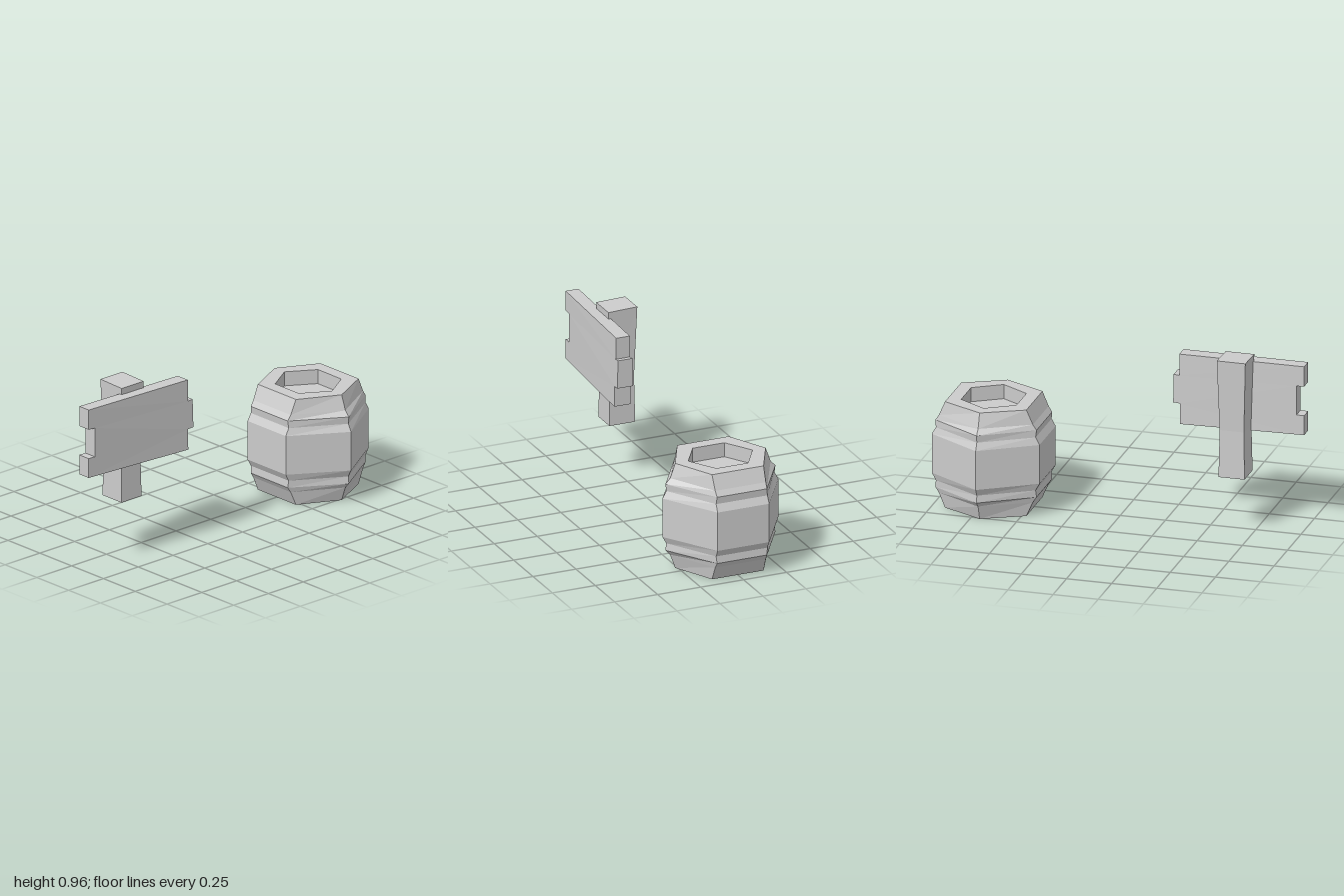
import * as THREE from 'three';

const material = () => new THREE.MeshStandardMaterial({ color: 0xcccccc, flatShading: true, roughness: 0.9 });

// Closed solid through a stack of equal-length rings (points run counter-clockwise seen from above)
function loft(rings) {
  const pos = [];
  const tri = (...pts) => pts.forEach((p) => pos.push(...p));
  const n = rings[0].length;
  for (let i = 0; i < rings.length - 1; i++) {
    for (let j = 0; j < n; j++) {
      const k = (j + 1) % n;
      const a = rings[i][j], b = rings[i][k], c = rings[i + 1][k], d = rings[i + 1][j];
      tri(a, b, c);
      tri(a, c, d);
    }
  }
  const first = rings[0], last = rings[rings.length - 1];
  for (let j = 1; j < n - 1; j++) {
    tri(first[0], first[j + 1], first[j]);
    tri(last[0], last[j], last[j + 1]);
  }
  const geo = new THREE.BufferGeometry();
  geo.setAttribute('position', new THREE.Float32BufferAttribute(pos, 3));
  geo.computeVertexNormals();
  return geo;
}

function addMesh(parent, name, geometry) {
  const mesh = new THREE.Mesh(geometry, material());
  mesh.name = name;
  parent.add(mesh);
  return mesh;
}

// Six-sided barrel with two raised bands and a recess in each end
function barrelGeometry() {
  // height from the end, half width in x, z of the side corners, z of the tip
  const half = [
    [0.08, 0.153, 0.092, 0.187],
    [0, 0.153, 0.092, 0.187],
    [0, 0.225, 0.15, 0.263],
    [0.08, 0.26, 0.147, 0.292],
    [0.11, 0.28, 0.145, 0.32],
    [0.15, 0.276, 0.149, 0.315],
    [0.19, 0.298, 0.15, 0.337],
  ];
  const profile = [...half, ...half.map(([y, ...r]) => [0.6 - y, ...r]).reverse()];
  return loft(profile.map(([y, sx, sz, tip]) => [
    [0, y, tip], [sx, y, sz], [sx, y, -sz], [0, y, -tip], [-sx, y, -sz], [-sx, y, sz],
  ]));
}

// Square post, slightly waisted in the middle
function postGeometry() {
  const levels = [
    // front y, back y, half x, half z
    [0.305, 0.305, 0.072, 0.075],
    [0.57, 0.57, 0.067, 0.07],
    [0.96, 0.965, 0.079, 0.084],
  ];
  return loft(levels.map(([yf, yb, hx, hz]) => [
    [-hx, yf, hz], [hx, yf, hz], [hx, yb, -hz], [-hx, yb, -hz],
  ]));
}

// Sign board: notched at one end, tongue at the other, thicker toward the lower right
function boardGeometry() {
  const outline = [
    [-1, 0.54], [-0.31, 0.527], [-0.31, 0.642], [-0.272, 0.645], [-0.274, 0.803], [-0.305, 0.8],
    [-0.305, 0.92], [-1, 0.927], [-1, 0.815], [-0.957, 0.813], [-0.957, 0.65], [-1, 0.65],
  ].map(([x, y]) => new THREE.Vector2(x, y));
  const geo = new THREE.ExtrudeGeometry(new THREE.Shape(outline), { depth: 1, bevelEnabled: false });
  const p = geo.attributes.position;
  for (let i = 0; i < p.count; i++) {
    const t = (p.getX(i) + 1) / 0.73;
    const low = (0.925 - p.getY(i)) / 0.4;
    const back = 0.06 + 0.015 * t - 0.007 * low * t;
    const front = 0.134 + 0.02 * t + 0.01 * low * t;
    p.setZ(i, p.getZ(i) > 0.5 ? front : back);
  }
  geo.computeVertexNormals();
  return geo;
}

export function createModel() {
  const model = new THREE.Group();
  model.name = 'barrelAndSign';

  addMesh(model, 'barrel', barrelGeometry()).position.x = 0.7;

  const sign = new THREE.Group();
  sign.name = 'signpost';
  addMesh(sign, 'post', postGeometry()).position.x = -0.638;
  addMesh(sign, 'board', boardGeometry());
  model.add(sign);

  return model;
}
